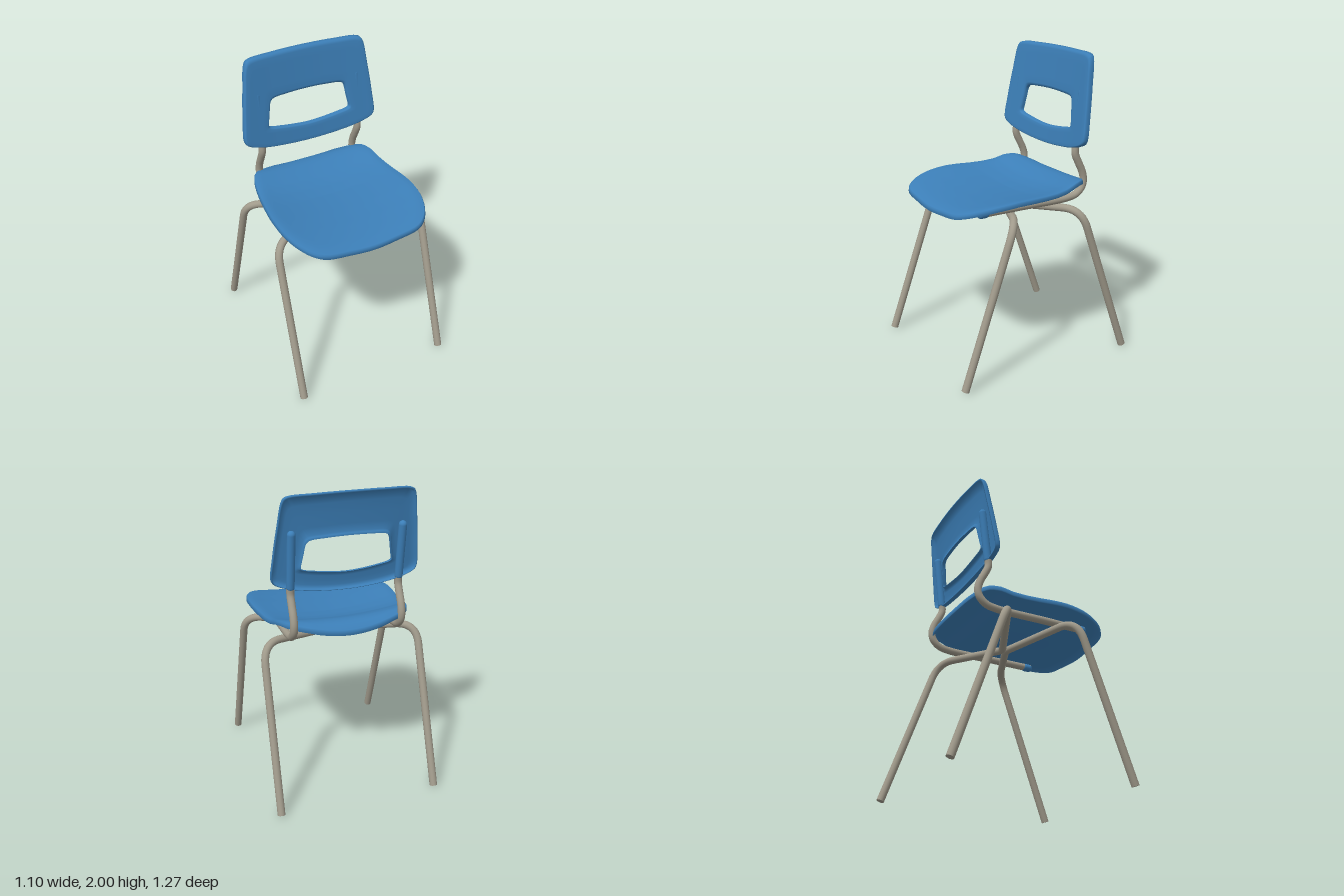
import * as THREE from 'three';

const V = (x, y, z) => new THREE.Vector3(x, y, z);
const blue = new THREE.MeshStandardMaterial({ color: 0x3c7fb8 });
blue.name = 'blue plastic';
const metal = new THREE.MeshStandardMaterial({ color: 0xa09a8b });
metal.name = 'warm grey metal';

// Piecewise-linear lookup in a list of [key, value] with ascending keys, eased between points
function lookup(table, k) {
  let i = 0;
  while (i < table.length - 2 && k > table[i + 1][0]) i++;
  const [k0, v0] = table[i], [k1, v1] = table[i + 1];
  return v0 + (v1 - v0) * THREE.MathUtils.clamp((k - k0) / (k1 - k0), 0, 1);
}

// Closed symmetric outline from a half profile that starts and ends on the centre line
function outline(half, n = 100) {
  const mirrored = half.slice(1, -1).reverse().map(([a, b]) => [-a, b]);
  const pts = [...half, ...mirrored].map(([a, b]) => V(a, b, 0));
  return new THREE.CatmullRomCurve3(pts, true, 'centripetal').getPoints(n).slice(0, n);
}

// Skin between successive closed rings of points
function loft(rings) {
  const n = rings[0].length, index = [];
  for (let i = 0; i < rings.length - 1; i++) {
    for (let j = 0; j < n; j++) {
      const a = i * n + j, b = i * n + (j + 1) % n;
      index.push(a, b, a + n, b, b + n, a + n);
    }
  }
  const geo = new THREE.BufferGeometry().setFromPoints(rings.flat());
  geo.setIndex(index);
  geo.computeVertexNormals();
  return geo;
}

function add(parent, name, geo, mat) {
  const mesh = new THREE.Mesh(geo, mat);
  mesh.name = name;
  parent.add(mesh);
  return mesh;
}

// Straight runs joined by rounded corners
function bentPath(points, trims) {
  const path = new THREE.CurvePath();
  let from = points[0];
  for (let i = 1; i < points.length - 1; i++) {
    const p = points[i], r = trims[i - 1];
    const a = p.clone().add(points[i - 1].clone().sub(p).setLength(r));
    const b = p.clone().add(points[i + 1].clone().sub(p).setLength(r));
    path.add(new THREE.LineCurve3(from, a));
    path.add(new THREE.QuadraticBezierCurve3(a, p, b));
    from = b;
  }
  path.add(new THREE.LineCurve3(from, points[points.length - 1]));
  return path;
}

// Round tube with flat closed ends
function tube(name, path, radius, segments, mat) {
  const group = new THREE.Group();
  group.name = name;
  add(group, name + 'Tube', new THREE.TubeGeometry(path, segments, radius, 16), mat);
  for (const t of [0, 1]) {
    const end = add(group, name + 'End', new THREE.CircleGeometry(radius, 16), mat);
    const p = path.getPointAt(t), out = path.getTangentAt(t).multiplyScalar(t ? 1 : -1);
    end.position.copy(p);
    end.lookAt(p.clone().add(out));
  }
  return group;
}

function makeSeat() {
  const edge = outline([[0, -0.435], [0.16, -0.422], [0.29, -0.392], [0.39, -0.345], [0.435, -0.27],
    [0.458, -0.17], [0.482, 0], [0.497, 0.15], [0.49, 0.3], [0.455, 0.42], [0.4, 0.505],
    [0.33, 0.55], [0.17, 0.565], [0, 0.575]]);
  // Height along the centre line, and the rise towards the sides
  const centre = [[-0.435, 1.135], [-0.4, 1.16], [-0.36, 1.172], [-0.31, 1.172], [-0.25, 1.155], [-0.18, 1.128],
    [-0.1, 1.112], [0, 1.103], [0.2, 1.102], [0.35, 1.098], [0.45, 1.09], [0.52, 1.08], [0.575, 1.068]];
  const rise = [[-0.43, 0.025], [-0.25, 0.045], [0, 0.056], [0.2, 0.055], [0.4, 0.045], [0.56, 0.04]];
  const ring = (s, drop) => edge.map(p => {
    const x = p.x * s, z = p.y * s;
    return V(x, lookup(centre, z) + lookup(rise, z) * (x / 0.48) ** 2 - drop, z);
  });
  // Top from the middle outwards, rolled rim, then the underside back in
  const steps = [];
  for (let s = 0; s <= 0.96; s += 0.06) steps.push([s, 0]);
  steps.push([0.985, 0.004], [0.997, 0.014], [1, 0.034], [0.985, 0.036], [0.97, 0.022]);
  for (let s = 0.92; s > 0; s -= 0.08) steps.push([s, 0.016]);
  steps.push([0, 0.016]);
  return loft(steps.map(([s, d]) => ring(s, d)));
}

function makeBackrest() {
  const outer = outline([[0, 2], [0.22, 1.997], [0.385, 1.988], [0.41, 1.97], [0.44, 1.8], [0.464, 1.6],
    [0.472, 1.465], [0.455, 1.437], [0.36, 1.4], [0.2, 1.375], [0, 1.365]]);
  const hole = outline([[0, 1.72], [0.14, 1.716], [0.245, 1.705], [0.265, 1.685], [0.278, 1.62], [0.287, 1.57],
    [0.292, 1.53], [0.28, 1.518], [0.2, 1.502], [0.1, 1.489], [0, 1.483]]);
  // Each step is [0 at the opening to 1 at the rim, depth behind the front face]
  const steps = [[0, 0.032], [0, 0.014], [0.025, 0.005], [0.07, 0], [0.25, 0], [0.5, 0], [0.75, 0], [0.92, 0],
    [0.97, 0.004], [0.995, 0.014], [1, 0.038], [0.96, 0.04], [0.94, 0.018], [0.75, 0.012], [0.5, 0.012],
    [0.25, 0.012], [0.08, 0.014], [0.05, 0.03], [0, 0.032]];
  return loft(steps.map(([f, d]) => outer.map((o, j) => {
    const p = hole[j].clone().lerp(o, f);
    p.z = -0.265 - 0.135 * (p.y - 1.4) - 0.025 * (1 - (p.x / 0.47) ** 2) - d;
    return p;
  })));
}

export function createModel() {
  const chair = new THREE.Group();
  chair.name = 'chair';
  add(chair, 'seat', makeSeat(), blue);
  add(chair, 'backrest', makeBackrest(), blue);

  // Each leg pair is one bent tube dipping at the middle
  for (const [name, s] of [['frontLegs', 1], ['rearLegs', -1]]) {
    const path = bentPath([V(0.525, 0.01, 0.61 * s), V(0.518, 1.042, 0.245 * s), V(0, 0.982, 0.012 * s),
      V(-0.518, 1.042, 0.245 * s), V(-0.525, 0.01, 0.61 * s)], [0.14, 0.03, 0.14]);
    chair.add(tube(name, path, 0.025, 160, metal));
  }

  for (const [side, s] of [['left', 1], ['right', -1]]) {
    const x = 0.353 * s;
    // Rail under the seat, curving up to the backrest
    const rail = new THREE.CatmullRomCurve3([[1.073, 0.4], [1.073, 0.1], [1.073, -0.24], [1.088, -0.315],
      [1.13, -0.362], [1.18, -0.374], [1.24, -0.36], [1.3, -0.33], [1.36, -0.304], [1.42, -0.306]]
      .map(([y, z]) => V(x, y, z)), false, 'centripetal');
    chair.add(tube(side + 'Rail', rail, 0.0245, 80, metal));

    // Plastic plug on the front end of the rail
    const plug = add(chair, side + 'RailPlug', new THREE.CapsuleGeometry(0.027, 0.03, 5, 16), blue);
    plug.position.set(x, 1.071, 0.375);
    plug.rotation.x = Math.PI / 2;

    // Moulded socket on the back of the backrest
    const low = V(x, 1.4, -0.306), high = V(x, 1.76, -0.349);
    const socket = add(chair, side + 'Socket', new THREE.CapsuleGeometry(0.026, 0.34, 5, 16), blue);
    socket.position.copy(low).lerp(high, 0.5);
    socket.quaternion.setFromUnitVectors(V(0, 1, 0), high.sub(low).normalize());
  }
  return chair;
}
